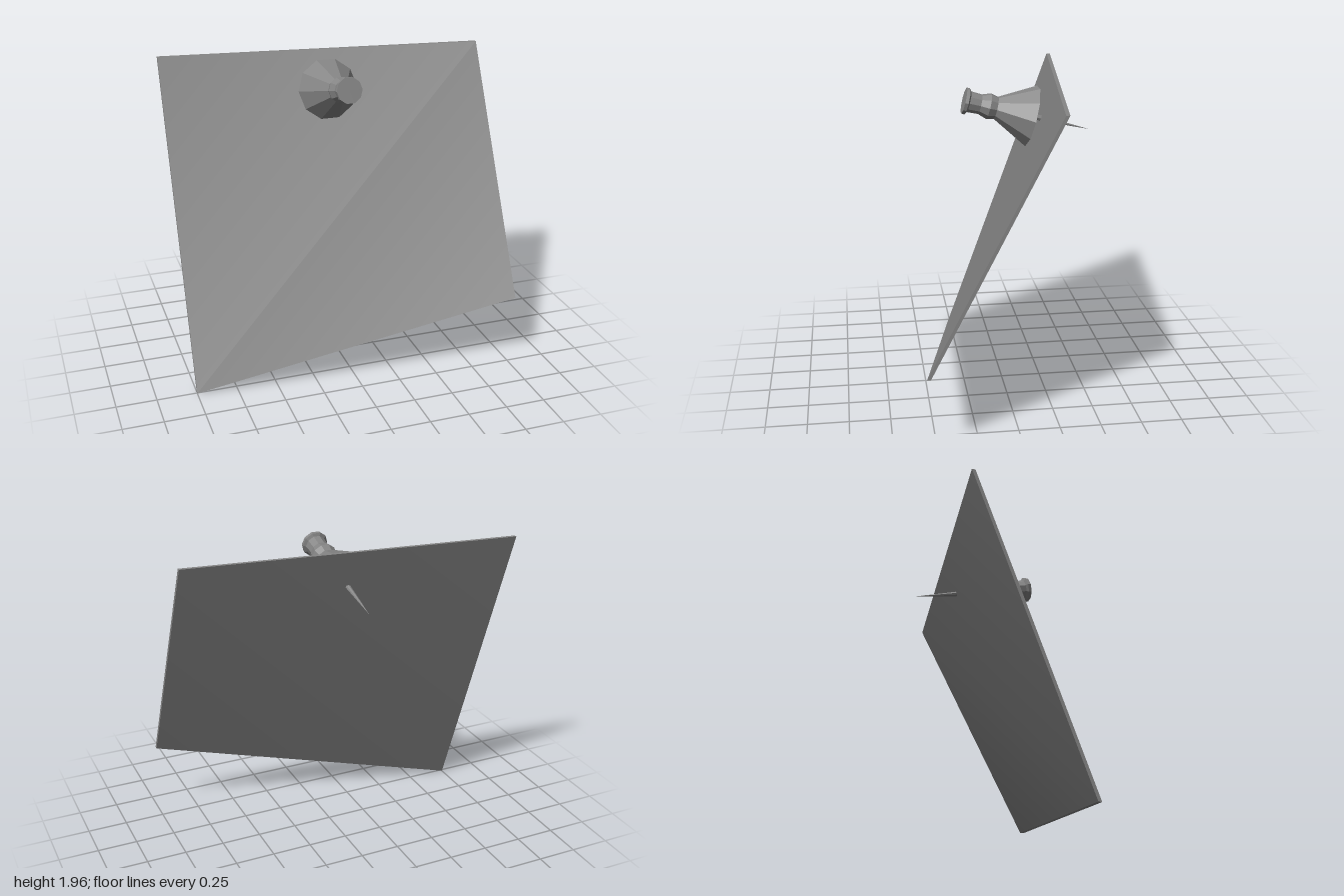
import * as THREE from 'three';
import { toCreasedNormals } from 'three/addons/utils/BufferGeometryUtils.js';

// Thin twisted sheet: four front corners, copied backwards for thickness
function sheetGeometry(thickness) {
  const front = [
    [-1, 1.955, -0.455], // top right
    [-1, 0, 0.257],      // bottom right
    [1, 0.485, 0.557],   // bottom left
    [1, 1.955, -0.2],    // top left
  ];
  const back = front.map(([x, y, z]) => [x, y, z - thickness]);
  const index = [0, 1, 3, 3, 1, 2, 4, 7, 5, 7, 6, 5];
  for (let i = 0; i < 4; i++) {
    const j = (i + 1) % 4;
    index.push(i, i + 4, j, j, i + 4, j + 4);
  }
  const geometry = new THREE.BufferGeometry();
  geometry.setAttribute('position', new THREE.Float32BufferAttribute([...front, ...back].flat(), 3));
  geometry.setIndex(index);
  return toCreasedNormals(geometry, Math.PI / 6);
}

// Faceted turned part; profile is [radius, height along the pin axis]
function turned(name, profile, sides, material) {
  const points = profile.map(([r, h]) => new THREE.Vector2(r, h));
  const mesh = new THREE.Mesh(new THREE.LatheGeometry(points, sides, Math.PI / 2), material);
  mesh.name = name;
  return mesh;
}

export function createModel() {
  const model = new THREE.Group();
  model.name = 'pinnedSheet';
  const smooth = new THREE.MeshStandardMaterial({ color: 0x858585 });
  const faceted = new THREE.MeshStandardMaterial({ color: 0x858585, flatShading: true });

  const sheet = new THREE.Mesh(sheetGeometry(0.022), smooth);
  sheet.name = 'sheet';
  model.add(sheet);

  // Push pin, its axis tilted up and forwards out of the sheet
  const pin = new THREE.Group();
  pin.name = 'pushPin';
  pin.add(turned('pinHandle', [
    [0, 0], [0.19, 0],                             // wide base
    [0.069, 0.225], [0.08, 0.27], [0.061, 0.325],  // cone and collar
    [0.065, 0.395], [0.082, 0.405], [0.08, 0.425], // neck and end disc
    [0, 0.425],
  ], 10, faceted));
  pin.add(turned('pinNeedle', [[0, -0.376], [0.016, -0.08], [0.018, 0.01]], 8, faceted));
  pin.position.set(0, 1.739, -0.182);
  pin.rotation.x = THREE.MathUtils.degToRad(75.5);
  model.add(pin);

  return model;
}
